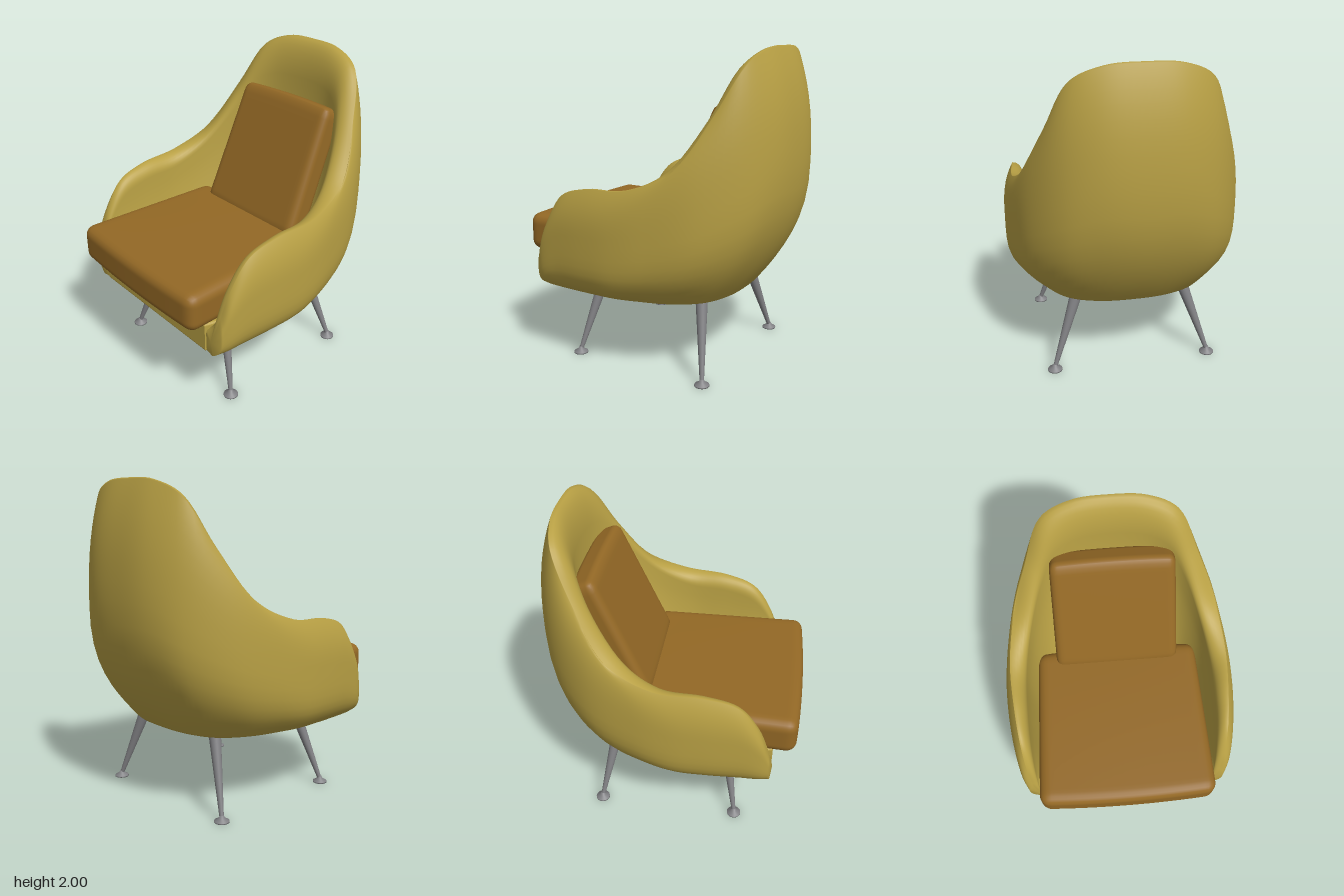
import * as THREE from 'three';
import { mergeVertices } from 'three/addons/utils/BufferGeometryUtils.js';

const lerp = THREE.MathUtils.lerp;

// Stations from the back centre to the tip of the arm:
// w = widest outer line, b = base line, r = rim crest, n = inner wall under the rim,
// j = inner wall at the seat, p = roundness of the lower hull
const STATIONS = [
  { w: [0, 1.3, -0.83], b: [0, -0.5], r: [0, 2, -0.71], n: [0, -0.6], d: 0.3, j: [0, -0.3], p: 2.2 },
  { w: [0.25, 1.3, -0.805], b: [0.22, -0.48], r: [0.22, 1.985, -0.7], n: [0.22, -0.58], d: 0.3, j: [0.2, -0.29], p: 2.2 },
  { w: [0.46, 1.2, -0.7], b: [0.4, -0.4], r: [0.4, 1.9, -0.655], n: [0.35, -0.53], d: 0.27, j: [0.36, -0.25], p: 2.5 },
  { w: [0.635, 1.05, -0.47], b: [0.52, -0.23], r: [0.525, 1.62, -0.52], n: [0.45, -0.43], d: 0.15, j: [0.45, -0.17], p: 3 },
  { w: [0.72, 0.95, -0.17], b: [0.58, -0.04], r: [0.64, 1.32, -0.33], n: [0.55, -0.22], d: 0.1, j: [0.5, -0.05], p: 4 },
  { w: [0.745, 0.9, 0.05], b: [0.61, 0.1], r: [0.69, 1.19, -0.05], n: [0.595, 0], d: 0.09, j: [0.52, 0.08], p: 5 },
  { w: [0.737, 0.88, 0.26], b: [0.615, 0.28], r: [0.675, 1.165, 0.25], n: [0.6, 0.25], d: 0.09, j: [0.53, 0.25], p: 5 },
  { w: [0.71, 0.85, 0.47], b: [0.61, 0.48], r: [0.655, 1.1, 0.45], n: [0.595, 0.45], d: 0.09, j: [0.53, 0.46], p: 5 },
  { w: [0.685, 0.75, 0.6], b: [0.6, 0.61], r: [0.64, 0.93, 0.575], n: [0.59, 0.58], d: 0.08, j: [0.52, 0.58], p: 5 },
  { w: [0.655, 0.63, 0.665], b: [0.585, 0.672], r: [0.62, 0.72, 0.652], n: [0.585, 0.655], d: 0.05, j: [0.5, 0.66], p: 4 },
];
const BASE_Y = 0.48, SEAT_Y = 0.62;

// Closed cross-section of the shell: up the outside, over the rim, down the inside
function section({ w, b, r, n, d, j, p }) {
  const pts = [];
  const add = (a, c, f, y) => pts.push(new THREE.Vector3(lerp(a[0], c[0], f), y, lerp(a.at(-1), c.at(-1), f)));
  add(j, j, 0, BASE_Y);
  add(j, b, 0.9, BASE_Y);
  for (let i = 0; i < 10; i++) {
    const t = (i / 10) ** 1.8;
    add(b, w, 1 - (1 - t) ** p, lerp(BASE_Y, w[1], t));
  }
  for (let i = 0; i < 10; i++) {
    const t = Math.sin((i / 10) * Math.PI / 2);
    add(w, r, t ** 2.5, lerp(w[1], r[1], t));
  }
  for (let i = 0; i < 8; i++) {
    const a = (i / 8) * Math.PI / 2;
    add(r, n, Math.sin(a), r[1] - d * (1 - Math.cos(a)));
  }
  for (let i = 0; i <= 6; i++) add(n, j, (i / 6) ** 1.6, lerp(r[1] - d, SEAT_Y, i / 6));
  return pts;
}

// Loft the mirrored sections into one wraparound shell with closed arm tips
function shellGeometry() {
  const half = STATIONS.map(section);
  const mirrored = half.slice(1).reverse().map(s => s.map(v => new THREE.Vector3(-v.x, v.y, v.z)));
  const sections = [...mirrored, ...half];
  const U = 108, V = half[0].length;
  const lines = half[0].map((_, k) => new THREE.CatmullRomCurve3(sections.map(s => s[k])));
  const pos = [], index = [];
  for (let u = 0; u <= U; u++) for (const line of lines) pos.push(...line.getPoint(u / U).toArray());
  for (let u = 0; u < U; u++) for (let v = 0; v < V; v++) {
    const a = u * V + v, b = u * V + (v + 1) % V;
    index.push(a, b, a + V, b, b + V, a + V);
  }
  for (const side of [-1, 1]) {
    const start = side < 0 ? 0 : U * V, centre = pos.length / 3;
    pos.push(side * 0.58, 0.58, 0.68);
    for (let v = 0; v < V; v++) {
      const a = start + v, b = start + (v + 1) % V;
      index.push(centre, ...(side < 0 ? [b, a] : [a, b]));
    }
  }
  const geo = new THREE.BufferGeometry();
  geo.setAttribute('position', new THREE.Float32BufferAttribute(pos, 3));
  geo.setIndex(index);
  geo.computeVertexNormals();
  return geo;
}

// Seat pan between the arms, which also forms the front panel and underside
function baseGeometry() {
  const right = STATIONS.map(s => new THREE.Vector2(s.j[0] * 1.02, -s.j[1]));
  const left = right.slice(1).reverse().map(v => new THREE.Vector2(-v.x, v.y));
  const shape = new THREE.Shape();
  shape.moveTo(left[0].x, left[0].y);
  shape.splineThru([...left.slice(1), ...right]);
  shape.closePath();
  const geo = new THREE.ExtrudeGeometry(shape, {
    depth: 0.165, bevelEnabled: true, bevelSize: 0.015, bevelThickness: 0.015, bevelSegments: 4, curveSegments: 48,
  });
  return geo.rotateX(-Math.PI / 2).translate(0, 0.49, 0);
}

// Soft cushion: a rounded box whose vertices are then shaped by a rule
function cushionGeometry(w, h, d, r, warp) {
  let geo = new THREE.BoxGeometry(w, h, d, 44, 24, 44);
  geo.deleteAttribute('uv');
  geo.deleteAttribute('normal');
  geo = mergeVertices(geo);
  const p = geo.attributes.position, v = new THREE.Vector3(), c = new THREE.Vector3();
  const inner = new THREE.Vector3(w / 2 - r, h / 2 - r, d / 2 - r), outer = inner.clone().negate();
  for (let i = 0; i < p.count; i++) {
    v.fromBufferAttribute(p, i);
    c.copy(v).clamp(outer, inner);
    v.sub(c);
    if (v.lengthSq() > 0) v.setLength(r);
    v.add(c);
    warp(v);
    p.setXYZ(i, v.x, v.y, v.z);
  }
  geo.computeVertexNormals();
  return geo;
}

export function createModel() {
  const group = new THREE.Group();
  const material = (name, color) => Object.assign(new THREE.MeshStandardMaterial({ color }), { name });
  const fabric = material('mustard fabric', 0xb8a044);
  const brown = material('brown fabric', 0x936825);
  const metal = material('grey metal', 0x808083);
  const add = (name, geo, mat, parent = group) => {
    const mesh = new THREE.Mesh(geo, mat);
    mesh.name = name;
    parent.add(mesh);
    return mesh;
  };

  add('shell', shellGeometry(), fabric);
  add('seatBase', baseGeometry(), fabric);

  // Seat cushion, narrower at the back with a bowed front edge
  const seat = add('seatCushion', cushionGeometry(1.14, 0.245, 1.03, 0.065, v => {
    const x = v.x / 0.57, z = v.z / 0.515;
    v.x *= 0.97 + 0.03 * z;
    v.z += 0.02 * (1 - x * x) * z;
    v.y *= 1 + 0.03 * (1 - x * x) * (1 - z * z);
  }), brown);
  seat.position.set(0, 0.8, 0.295);

  // Reclined back cushion, narrower at the top
  const back = add('backCushion', cushionGeometry(0.82, 0.86, 0.17, 0.05, v => {
    const x = v.x / 0.41, y = v.y / 0.43;
    v.x *= 0.965 - 0.035 * y;
    v.y += 0.012 * (1 - x * x) * y;
  }), brown);
  back.position.set(0, 1.256, -0.353);
  back.rotation.x = -0.41;

  // Splayed tapered legs with small disc feet
  const footProfile = [[0, 0], [0.046, 0], [0.046, 0.008], [0.02, 0.024], [0.012, 0.04], [0, 0.04]]
    .map(([x, y]) => new THREE.Vector2(x, y));
  for (const sx of [1, -1]) for (const front of [true, false]) {
    const leg = new THREE.Group();
    leg.name = (front ? 'front' : 'back') + (sx > 0 ? 'Left' : 'Right') + 'Leg';
    const foot = new THREE.Vector3(sx * 0.505, 0.02, front ? 0.46 : -0.455);
    const top = new THREE.Vector3(sx * 0.34, 0.5, front ? 0.37 : -0.36);
    const axis = top.clone().sub(foot);
    const post = add('legPost', new THREE.CylinderGeometry(0.039, 0.013, axis.length(), 24), metal, leg);
    post.position.copy(foot).addScaledVector(axis, 0.5);
    post.quaternion.setFromUnitVectors(new THREE.Vector3(0, 1, 0), axis.normalize());
    add('foot', new THREE.LatheGeometry(footProfile, 24), metal, leg).position.set(foot.x, 0, foot.z);
    group.add(leg);
  }
  return group;
}
